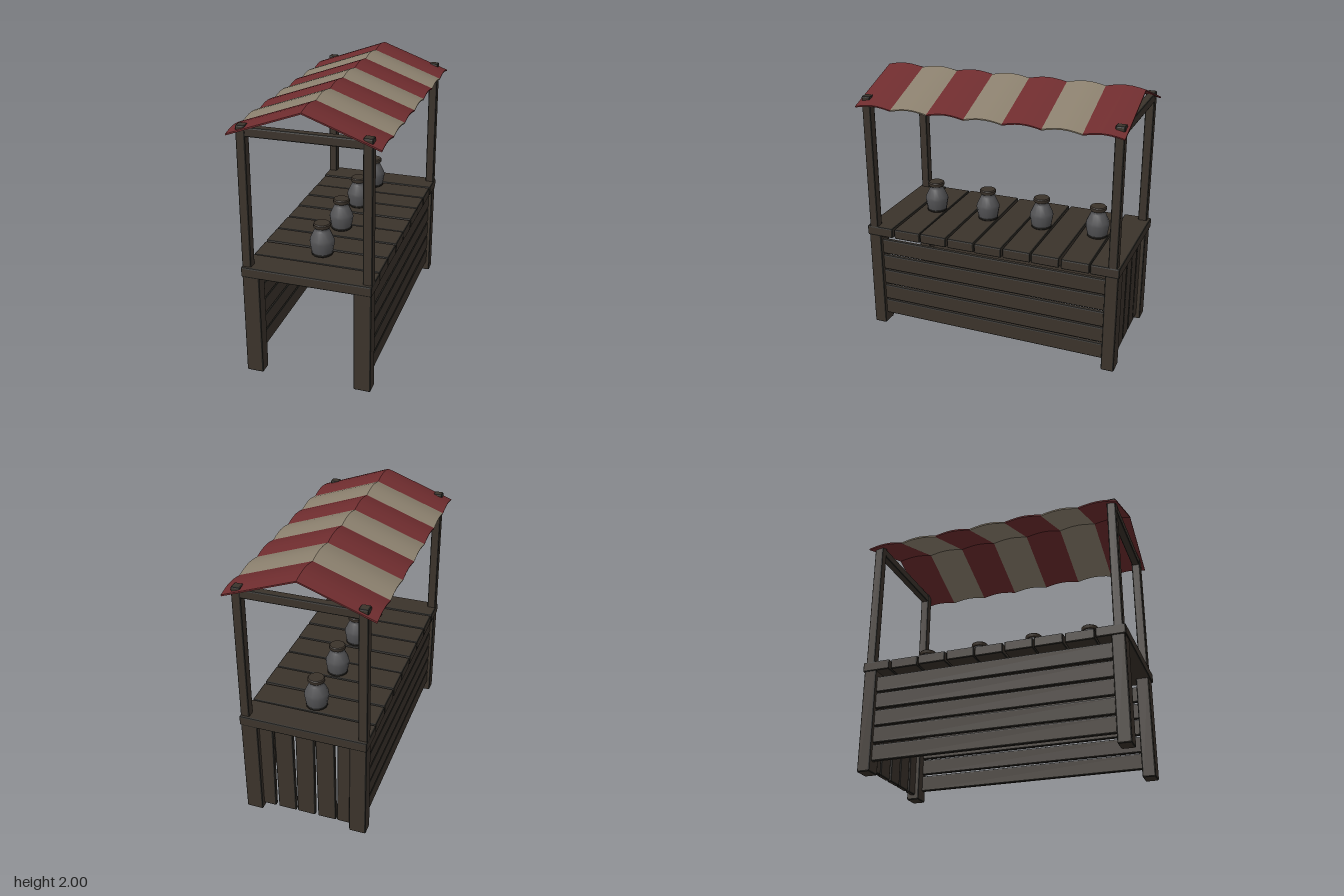
import * as THREE from 'three';
import { toCreasedNormals } from 'three/addons/utils/BufferGeometryUtils.js';

const material = (name, color) => {
  const m = new THREE.MeshStandardMaterial({ color });
  m.name = name;
  return m;
};

// Box with bevelled edges; flat faces use material 0, worn bevels material 1.
function beam(w, h, d, b = 0.011) {
  const half = [w / 2, h / 2, d / 2];
  const box = new THREE.BoxGeometry(1, 1, 1, 3, 3, 3);
  const p = box.attributes.position;
  for (let i = 0; i < p.count; i++) {
    const v = [p.getX(i), p.getY(i), p.getZ(i)];
    const outer = v.map(c => (Math.abs(c) > 0.4 ? Math.sign(c) : 0));
    const len = Math.hypot(...outer);
    const q = v.map((c, k) => Math.sign(c) * (half[k] - b) + b * outer[k] / len);
    p.setXYZ(i, ...q);
  }
  const g = box.toNonIndexed();
  g.computeVertexNormals();
  // Regroup triangles by whether they face straight along an axis
  g.clearGroups();
  const n = g.attributes.normal;
  for (let i = 0; i < n.count; i += 3) {
    const m = Math.max(Math.abs(n.getX(i)), Math.abs(n.getY(i)), Math.abs(n.getZ(i)));
    g.addGroup(i, 3, m > 0.99 ? 0 : 1);
  }
  return g;
}

export function createModel() {
  const model = new THREE.Group();
  model.name = 'marketStall';
  const wood = material('darkWood', 0x3b332b);
  const edge = material('wornWoodEdge', 0x25231f);
  const red = material('redCloth', 0x6e2c2e);
  const cream = material('creamCloth', 0x8a7f6d);
  const clay = material('greyJar', 0x525254);

  const addBeam = (name, size, pos, tilt = [0, 0, 0]) => {
    const m = new THREE.Mesh(beam(...size), [wood, edge]);
    m.name = name;
    m.position.set(...pos);
    m.rotation.set(...tilt);
    model.add(m);
  };

  // Legs, upper posts and roof crossbars
  for (const sz of [1, -1]) {
    for (const sx of [1, -1]) {
      addBeam('leg', [0.126, 0.77, 0.098], [sx * 0.398, 0.387, sz * 0.928]);
      addBeam('post', [0.068, 1.05, 0.068], [sx * 0.427, 1.328, sz * 0.932], [0, 0, sx * 0.004]);
    }
    addBeam('crossbar', [0.9, 0.068, 0.06], [0, 1.808, sz * 0.932]);
  }

  // Counter top of nine planks running across
  for (let i = 0; i < 9; i++) {
    const end = i === 0 || i === 8;
    addBeam('counterPlank', [end ? 0.932 : 0.92, 0.077, 0.212],
      [0, 0.8 - (i % 3 === 1 ? 0.003 : 0), 0.88 - i * 0.22], [0, (i % 2 ? 1 : -1) * 0.004, 0]);
  }

  // Horizontal planks on both long sides, set in under the counter
  for (const sx of [1, -1]) {
    for (let i = 0; i < 5; i++) {
      addBeam('sidePlank', [0.032, 0.122, 1.82], [sx * 0.418, 0.142 + i * 0.1305, 0],
        [(i % 2 ? 1 : -1) * 0.0015, 0, 0]);
    }
  }

  // Vertical planks closing the back end
  [0.012, -0.01, 0.008, -0.008, 0.01].forEach((t, i) => {
    addBeam('backPlank', [0.14, 0.715, 0.036], [-0.306 + i * 0.153, 0.394, -0.927], [0, 0, t]);
  });

  // Striped gable canopy: thin strips, each arched slightly along its width
  const w = 0.52, top = 1.98, eave = 1.791, t = 0.01;
  const gable = new THREE.Shape([
    [-w, eave], [-w + 0.003, eave - t], [0, top - t], [w - 0.003, eave - t], [w, eave], [0, top],
  ].map(([x, y]) => new THREE.Vector2(x, y)));
  const stripW = 1.966 / 7;
  for (let i = 0; i < 7; i++) {
    const g = new THREE.ExtrudeGeometry(gable, { depth: stripW, steps: 6, bevelEnabled: false });
    const p = g.attributes.position;
    for (let k = 0; k < p.count; k++) {
      p.setY(k, p.getY(k) + 0.02 * Math.sin(Math.PI * p.getZ(k) / stripW));
    }
    const strip = new THREE.Mesh(toCreasedNormals(g, 0.4), i % 2 ? cream : red);
    strip.name = 'canopyStrip';
    strip.position.z = -0.983 + i * stripW;
    model.add(strip);
  }

  // Row of jars with wooden lids
  const lathe = pts => toCreasedNormals(
    new THREE.LatheGeometry(pts.map(([r, y]) => new THREE.Vector2(r, y)), 14), 0.75);
  const body = lathe([[0, 0.006], [0.07, 0.006], [0.077, 0.03], [0.089, 0.1],
    [0.085, 0.122], [0.058, 0.18], [0.05, 0.19], [0.05, 0.21]]);
  const foot = lathe([[0, 0], [0.066, 0], [0.077, 0.008], [0.077, 0.018], [0.068, 0.024]]);
  const lid = lathe([[0, 0.208], [0.056, 0.208], [0.062, 0.215], [0.062, 0.234], [0.055, 0.241], [0, 0.241]]);
  for (const z of [0.625, 0.188, -0.25, -0.688]) {
    const jar = new THREE.Group();
    jar.name = 'jar';
    jar.position.set(0, 0.838, z);
    [['jarBody', body, clay], ['jarFoot', foot, edge], ['jarLid', lid, wood]].forEach(([name, g, m]) => {
      const mesh = new THREE.Mesh(g, m);
      mesh.name = name;
      jar.add(mesh);
    });
    model.add(jar);
  }
  return model;
}
